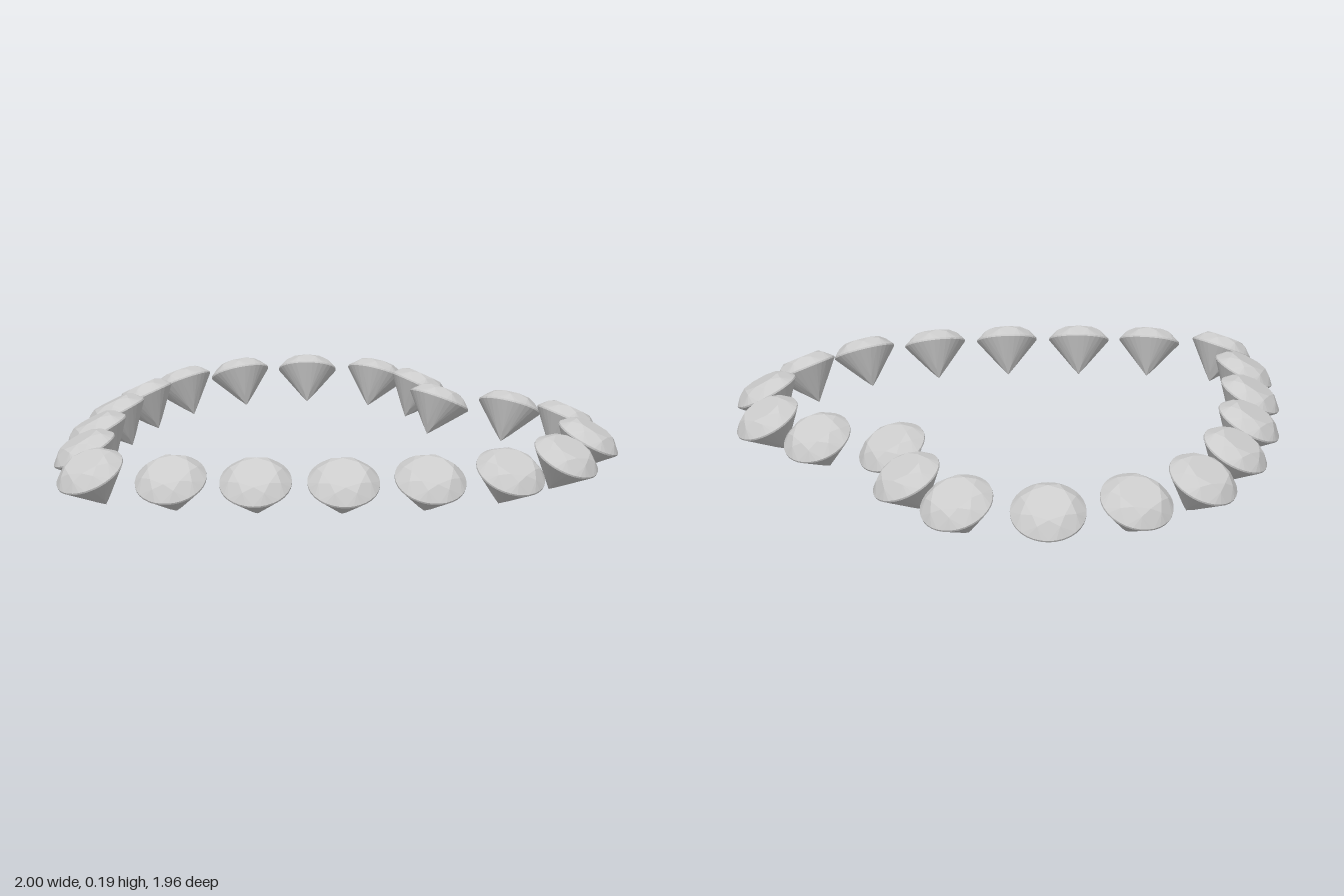
import * as THREE from 'three';

const R = 0.117;        // girdle radius
const CROWN = 0.044;    // girdle to table
const PAVILION = 0.137; // girdle to culet
const RIM = 0.003;      // half the girdle thickness
const TILT = THREE.MathUtils.degToRad(27);
const SIDES = 32;

// Round brilliant cut with flat facets, girdle centred on the origin
function gemGeometry() {
  const out = [];
  const ring = (radius, y, step) => {
    const a = (step / SIDES) * Math.PI * 2;
    return [radius * Math.sin(a), y, radius * Math.cos(a)];
  };
  const tri = (a, b, c) => out.push(...a, ...b, ...c);
  const top = [0, CROWN, 0];
  const culet = [0, -PAVILION, 0];
  const table = (k) => ring(R * 0.6, CROWN, k * 4);
  const star = (k) => ring(R * 0.78, RIM + (CROWN - RIM) * 0.7, k * 4 + 2);
  const lower = (k) => ring(R * 0.25, -RIM - (PAVILION - RIM) * 0.77, k * 4 + 2);
  const rimTop = (s) => ring(R, RIM, s);
  const rimLow = (s) => ring(R, -RIM, s);

  for (let k = 0; k < 8; k++) {
    const s = k * 4;
    // table, star facet and kite-shaped main facet
    tri(top, table(k), table(k + 1));
    tri(table(k), star(k), table(k + 1));
    tri(table(k), star(k - 1), rimTop(s));
    tri(table(k), rimTop(s), star(k));
    // pavilion main facet
    tri(culet, rimLow(s), lower(k - 1));
    tri(culet, lower(k), rimLow(s));
    for (let i = s; i < s + 4; i++) {
      // half facets above and below, with the girdle between
      tri(star(k), rimTop(i), rimTop(i + 1));
      tri(lower(k), rimLow(i + 1), rimLow(i));
      tri(rimTop(i), rimLow(i), rimLow(i + 1));
      tri(rimTop(i), rimLow(i + 1), rimTop(i + 1));
    }
  }
  const geometry = new THREE.BufferGeometry();
  geometry.setAttribute('position', new THREE.Float32BufferAttribute(out, 3));
  geometry.computeVertexNormals();
  return geometry;
}

// Gem centres (x, z) along the left half of the heart, from notch to point
const half = [
  [0, -0.73], [0.243, -0.86], [0.515, -0.877], [0.758, -0.716], [0.882, -0.46],
  [0.894, -0.175], [0.79, 0.09], [0.636, 0.328], [0.45, 0.541], [0.248, 0.73], [0, 0.876],
];

export function createModel() {
  const model = new THREE.Group();
  model.name = 'gemHeart';
  const geometry = gemGeometry();
  const material = new THREE.MeshStandardMaterial({ color: 0xcccccc, flatShading: true });

  // Close the loop by mirroring the inner points
  const mirrored = half.slice(1, -1).reverse().map(([x, z]) => [-x, z]);
  const loop = [...half, ...mirrored];
  const n = loop.length;

  loop.forEach(([x, z], i) => {
    const [px, pz] = loop[(i + n - 1) % n];
    const [nx, nz] = loop[(i + 1) % n];
    const gem = new THREE.Mesh(geometry, material);
    gem.name = `gem${i + 1}`;
    gem.position.set(x, PAVILION * Math.cos(TILT), z);
    // lean the table outward, square to the heart's outline
    gem.rotation.order = 'YXZ';
    gem.rotation.set(TILT, Math.atan2(nz - pz, px - nx), 0);
    model.add(gem);
  });
  return model;
}
